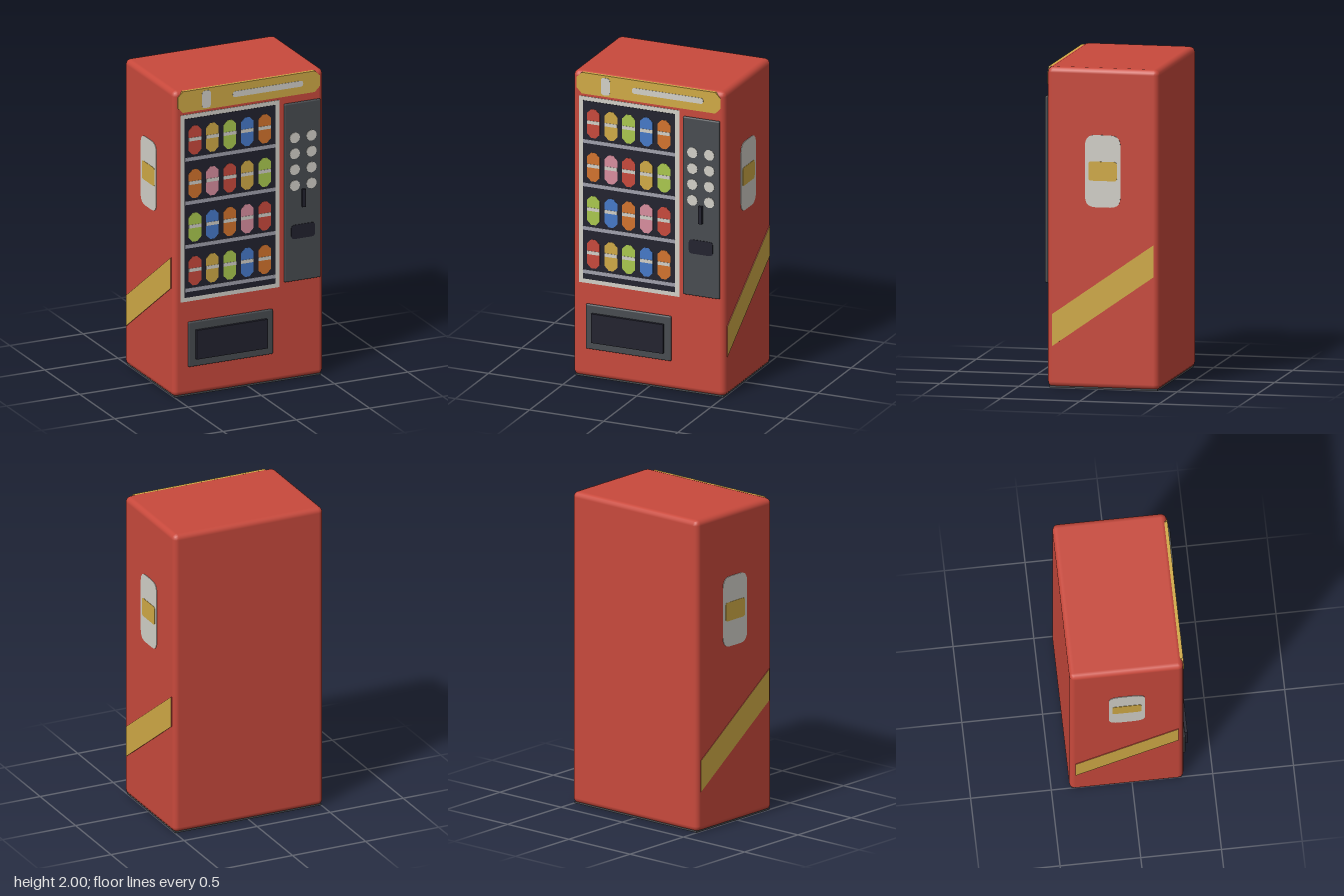
import * as THREE from 'three';
import { RoundedBoxGeometry } from 'three/addons/geometries/RoundedBoxGeometry.js';

const paint = (name, color) => {
  const m = new THREE.MeshStandardMaterial({ color });
  m.name = name;
  return m;
};

export function createModel() {
  const red = paint('red', 0xc8493c);
  const gold = paint('gold', 0xd0aa46);
  const cream = paint('cream', 0xd2d0c8);
  const grey = paint('dark grey', 0x484c50);
  const navy = paint('navy', 0x22222e);
  const green = paint('green', 0xaac84e);
  const blue = paint('blue', 0x4679c8);
  const orange = paint('orange', 0xd2732d);
  const pink = paint('pink', 0xd88d9e);
  const steel = paint('steel', 0xa0a0ac);

  const model = new THREE.Group();
  model.name = 'vendingMachine';

  const add = (parent, name, geometry, material) => {
    const mesh = new THREE.Mesh(geometry, material);
    mesh.name = name;
    parent.add(mesh);
    return mesh;
  };

  // Rounded rectangle outline; one curve segment gives cut corners
  const rounded = (x0, x1, y0, y1, r) => {
    const s = new THREE.Shape();
    s.moveTo(x0 + r, y0);
    s.lineTo(x1 - r, y0);
    s.quadraticCurveTo(x1, y0, x1, y0 + r);
    s.lineTo(x1, y1 - r);
    s.quadraticCurveTo(x1, y1, x1 - r, y1);
    s.lineTo(x0 + r, y1);
    s.quadraticCurveTo(x0, y1, x0, y1 - r);
    s.lineTo(x0, y0 + r);
    s.quadraticCurveTo(x0, y0, x0 + r, y0);
    return s;
  };

  // Flat plate from z0 to z1, facing +z
  const plate = (parent, name, material, shape, z0, z1, curveSegments = 1) => {
    const g = new THREE.ExtrudeGeometry(shape, { depth: z1 - z0, bevelEnabled: false, curveSegments });
    g.translate(0, 0, z0);
    return add(parent, name, g, material);
  };

  // Plain block given by its limits
  const block = (parent, name, material, x0, x1, y0, y1, z0, z1) => {
    const g = new THREE.BoxGeometry(x1 - x0, y1 - y0, z1 - z0);
    g.translate((x0 + x1) / 2, (y0 + y1) / 2, (z0 + z1) / 2);
    return add(parent, name, g, material);
  };

  // Block with softened edges
  const softBlock = (parent, name, material, x0, x1, y0, y1, z0, z1, r, segments = 2) => {
    const g = new RoundedBoxGeometry(x1 - x0, y1 - y0, z1 - z0, segments, r);
    g.translate((x0 + x1) / 2, (y0 + y1) / 2, (z0 + z1) / 2);
    return add(parent, name, g, material);
  };

  const F = 0.32; // front face of the cabinet

  // Cabinet and base
  softBlock(model, 'cabinet', red, -0.513, 0.513, 0.003, 2, -0.387, F, 0.035);
  block(model, 'base', grey, -0.5, 0.5, 0, 0.012, -0.375, 0.308);

  // Header sign
  const sign = new THREE.Group();
  sign.name = 'headerSign';
  model.add(sign);
  plate(sign, 'signBoard', gold, rounded(-0.485, 0.485, 1.857, 1.995, 0.035), F - 0.02, F + 0.003);
  plate(sign, 'signMark', cream, rounded(-0.32, -0.26, 1.867, 1.98, 0.02), F, F + 0.005, 3);
  plate(sign, 'signBar', cream, rounded(-0.111, 0.37, 1.907, 1.945, 0.018), F, F + 0.005, 3);

  // Display window
  const display = new THREE.Group();
  display.name = 'displayWindow';
  model.add(display);
  block(display, 'windowFrame', cream, -0.467, 0.209, 0.62, 1.841, F - 0.01, F + 0.003);
  block(display, 'windowBack', navy, -0.439, 0.18, 0.647, 1.814, F, F + 0.005);

  // Four shelves of five drinks
  const rows = [
    [red, gold, green, blue, orange],
    [orange, pink, red, gold, green],
    [green, blue, orange, pink, red],
    [red, gold, green, blue, orange],
  ];
  rows.forEach((colors, row) => {
    const y = 1.67 - row * 0.2845;
    block(display, 'shelf', steel, -0.439, 0.18, y - 0.133, y - 0.109, F, F + 0.007);
    colors.forEach((color, col) => {
      const x = -0.37 + col * 0.119;
      plate(display, 'can', color, rounded(x - 0.043, x + 0.043, y - 0.094, y + 0.094, 0.028), F, F + 0.007);
      block(display, 'canBand', cream, x - 0.043, x + 0.043, y - 0.004, y + 0.018, F, F + 0.009);
    });
  });

  // Control panel
  const panel = new THREE.Group();
  panel.name = 'controlPanel';
  model.add(panel);
  softBlock(panel, 'panelPlate', grey, 0.237, 0.485, 0.648, 1.812, F - 0.002, 0.34, 0.008, 1);
  for (const x of [0.304, 0.418]) {
    for (let i = 0; i < 4; i++) {
      const button = add(panel, 'button', new THREE.CylinderGeometry(0.035, 0.035, 0.008, 12), cream);
      button.rotation.x = Math.PI / 2;
      button.position.set(x, 1.586 - i * 0.104, 0.339);
    }
  }
  block(panel, 'coinSlot', navy, 0.35, 0.374, 1.13, 1.245, 0.335, 0.358);
  plate(panel, 'coinReturn', navy, rounded(0.28, 0.442, 0.925, 1.017, 0.022), 0.335, 0.343, 3);

  // Delivery tray
  const tray = new THREE.Group();
  tray.name = 'deliveryTray';
  model.add(tray);
  softBlock(tray, 'trayFrame', grey, -0.418, 0.158, 0.195, 0.488, F - 0.002, 0.34, 0.008, 1);
  block(tray, 'trayFlap', navy, -0.372, 0.112, 0.245, 0.435, 0.33, 0.358);

  // Side decoration, repeated by a half turn on the other side
  const W = 0.513;
  const stripe = new THREE.Shape([
    new THREE.Vector2(-0.32, 0.26),
    new THREE.Vector2(0.32, 0.71),
    new THREE.Vector2(0.32, 0.91),
    new THREE.Vector2(-0.32, 0.46),
  ]);
  for (const [name, turn] of [['leftDecoration', 1], ['rightDecoration', -1]]) {
    const side = new THREE.Group();
    side.name = name;
    side.rotation.y = turn * Math.PI / 2;
    side.position.z = -0.033;
    model.add(side);
    plate(side, 'stripe', [gold, red], stripe, W - 0.004, W + 0.004);
    plate(side, 'badge', cream, rounded(-0.112, 0.112, 1.135, 1.585, 0.065), W - 0.003, W + 0.003, 5);
    plate(side, 'badgeCentre', gold, rounded(-0.09, 0.09, 1.3, 1.42, 0.018), W, W + 0.005, 3);
  }

  return model;
}
